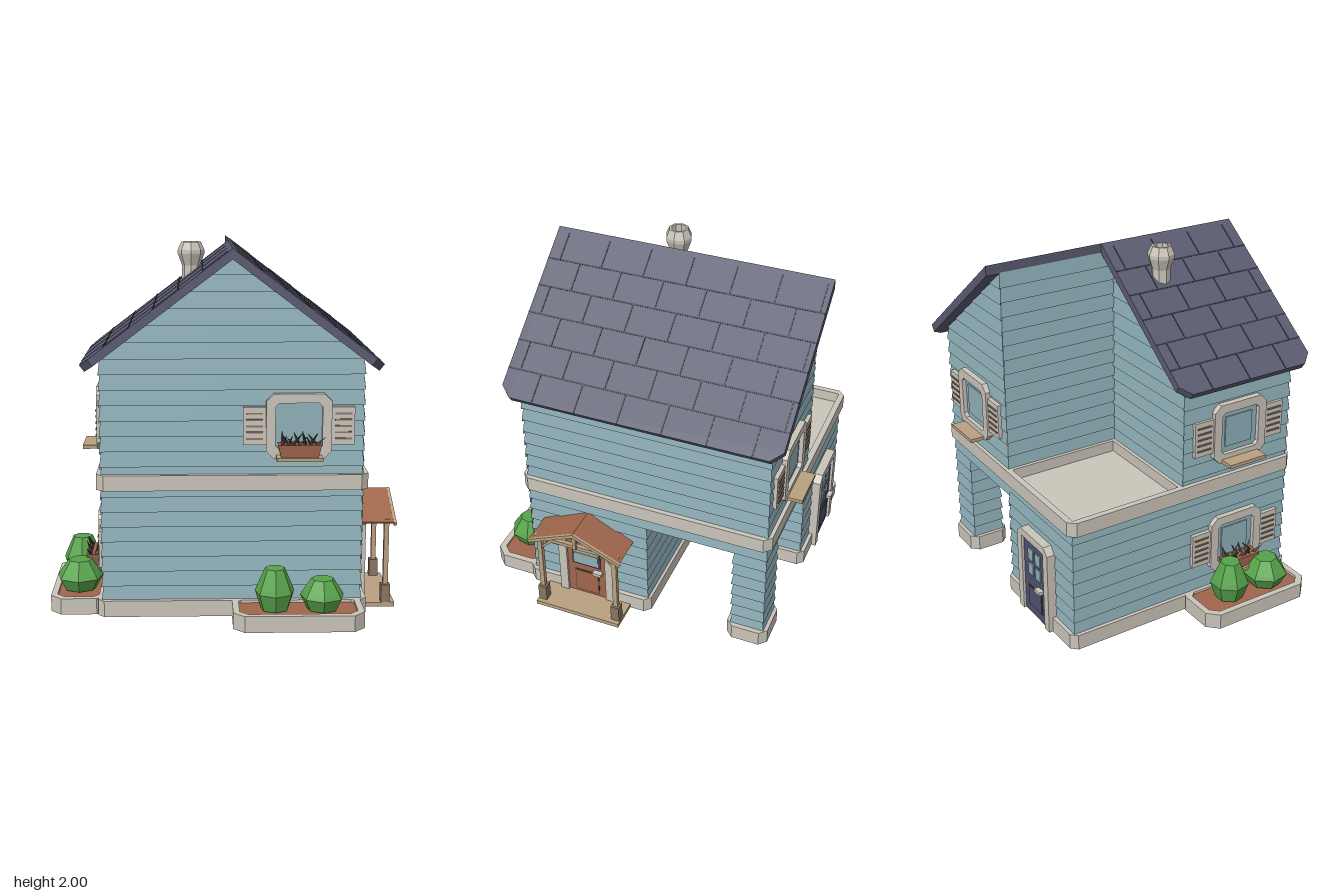
import * as THREE from 'three';

const mat = (name, color, side = THREE.FrontSide) => {
  const m = new THREE.MeshStandardMaterial({ color, flatShading: true, side });
  m.name = name;
  return m;
};
const M = {
  wall: mat('blue siding', 0x8fb0b9, THREE.DoubleSide),
  roof: mat('slate roof', 0x5a5b70),
  groove: mat('slate groove', 0x3c3d4c),
  trim: mat('stone trim', 0xcbc5ba, THREE.DoubleSide),
  rust: mat('terracotta', 0xa0664c),
  tan: mat('light wood', 0xb9a180),
  taupe: mat('post stone', 0x8a7566),
  navy: mat('navy paint', 0x4d5270),
  green: mat('leaf green', 0x57a34b),
  plant: mat('dark plant', 0x4a423d, THREE.DoubleSide),
};

function add(parent, name, geo, material, x = 0, y = 0, z = 0) {
  const m = new THREE.Mesh(geo, material);
  m.name = name;
  m.position.set(x, y, z);
  parent.add(m);
  return m;
}
const box = (p, name, material, w, h, d, x, y, z) =>
  add(p, name, new THREE.BoxGeometry(w, h, d), material, x, y, z);
function group(parent, name) {
  const g = new THREE.Group();
  g.name = name;
  parent.add(g);
  return g;
}
// Cut every corner of a polygon by c
function chamfer(pts, c) {
  return pts.flatMap((p, i) => {
    const v = new THREE.Vector2(...p);
    return [pts.at(i - 1), pts[(i + 1) % pts.length]].map((q) =>
      v.clone().add(new THREE.Vector2(...q).sub(v).setLength(c)));
  });
}
const rect = (x0, x1, y0, y1) => [[x0, y0], [x1, y0], [x1, y1], [x0, y1]];
const vecs = (pts) => pts.map((p) => new THREE.Vector2(...p));
function extrude(pts, depth, hole) {
  const s = new THREE.Shape(pts);
  if (hole) s.holes.push(new THREE.Path(hole));
  return new THREE.ExtrudeGeometry(s, { depth, bevelEnabled: false });
}
// Slab from a plan outline given in x and z
function slab(pts, y0, y1, hole) {
  const flip = (a) => a && a.map((p) => new THREE.Vector2(p.x, -p.y));
  return extrude(flip(pts), y1 - y0, flip(hole)).rotateX(-Math.PI / 2).translate(0, y0, 0);
}

// Clapboard wall: each board leans out at its foot and has a lip underneath
function siding(parent, name, turn, off, a, b, y0, y1, ta = a, tb = b) {
  const rows = Math.max(1, Math.round((y1 - y0) / 0.082)), out = 0.01, pos = [];
  const quad = (p, q, r, s) => pos.push(...p, ...q, ...r, ...p, ...r, ...s);
  for (let i = 0; i < rows; i++) {
    const t0 = i / rows, t1 = (i + 1) / rows, L = THREE.MathUtils.lerp;
    const yb = L(y0, y1, t0), yt = L(y0, y1, t1), l = L(a, ta, t0), r = L(b, tb, t0);
    const fl = [l - out, yb, off + out], fr = [r + out, yb, off + out];
    quad(fl, fr, [L(b, tb, t1), yt, off], [L(a, ta, t1), yt, off]);
    quad([l, yb, off], [r, yb, off], fr, fl);
  }
  const g = new THREE.BufferGeometry();
  g.setAttribute('position', new THREE.Float32BufferAttribute(pos, 3));
  g.computeVertexNormals();
  add(parent, name, g, M.wall).rotation.y = turn;
}

// Half roof, sloping down toward side s
function roofHalf(parent, s, z0, z1) {
  const g = group(parent, s > 0 ? 'leftRoof' : 'rightRoof');
  const len = 1.01, t = 0.045, c = 0.06, tilt = Math.atan(0.757);
  const pts = vecs([[0, z0], [s * (len - c), z0], [s * len, z0 + c], [s * len, z1 - c], [s * (len - c), z1], [0, z1]]);
  const geo = slab(pts, -t, 0), p = geo.attributes.position;
  // Mitre the underside at the ridge
  for (let i = 0; i < p.count; i++)
    if (Math.abs(p.getX(i)) < 1e-4 && p.getY(i) < -t / 2) p.setX(i, s * t * 0.757);
  add(g, 'roofPanel', geo, M.roof);
  const step = 0.163;
  for (let r = 0; r < 6; r++) {
    const u = 0.03 + r * step;
    if (r) box(g, 'tileRow', M.groove, 0.008, 0.005, z1 - z0, s * u, 0, (z0 + z1) / 2);
    for (let z = z1 - 0.07 - (r % 2) * 0.122; z > z0 + 0.02; z -= 0.245)
      box(g, 'tileJoint', M.groove, step, 0.005, 0.007, s * (u + step / 2), 0, z);
  }
  g.position.set(0.04, 1.995, 0);
  g.rotation.z = -s * tilt;
}

// Shuttered window, centred on its own origin and facing +z
function windowUnit(parent, name, turn, x, y, z, planted) {
  const g = group(parent, name);
  add(g, 'windowFrame', extrude(chamfer(rect(-0.175, 0.175, -0.175, 0.175), 0.04), 0.036,
    chamfer(rect(-0.125, 0.125, -0.125, 0.125), 0.02)), M.trim);
  box(g, 'pane', M.wall, 0.25, 0.25, 0.012, 0, 0, 0.006);
  box(g, 'innerPane', M.wall, 0.18, 0.18, 0.008, 0, 0, 0.015);
  for (const s of [-1, 1]) {
    box(g, 'shutter', M.trim, 0.122, 0.205, 0.026, s * 0.237, 0, 0.013);
    for (let i = -2; i <= 2; i++)
      box(g, 'shutterSlat', M.taupe, 0.09, 0.009, 0.008, s * 0.237, i * 0.034, 0.028);
  }
  box(g, 'sill', M.tan, 0.245, 0.02, 0.115, 0, -0.165, 0.06);
  if (planted) {
    const trough = new THREE.CylinderGeometry(0.115, 0.1, 0.065, 4, 1).rotateY(Math.PI / 4);
    trough.scale(Math.SQRT2, 1, 0.5);
    add(g, 'flowerBox', trough, M.rust, 0, -0.12, 0.07);
    for (let i = 0; i < 14; i++) {
      const leaf = add(g, 'leaf', new THREE.ConeGeometry(0.012, 0.075, 3).translate(0, 0.035, 0), M.plant,
        -0.09 + (i % 7) * 0.03, -0.092, i < 7 ? 0.055 : 0.085);
      leaf.rotation.set(i < 7 ? -0.35 : 0.45, 0, Math.sin(i * 2.3) * 0.7);
    }
  }
  g.position.set(x, y, z);
  g.rotation.y = turn;
}

// Door with a surround, standing on y = 0 and facing +z
function door(parent, name, turn, x, z, leaf) {
  const g = group(parent, name), w = 0.17, h = 0.53, c = 0.04;
  add(g, 'doorFrame', extrude(vecs([[-w, 0], [-0.12, 0], [-0.12, 0.485], [0.12, 0.485], [0.12, 0],
    [w, 0], [w, h - c], [w - c, h], [c - w, h], [-w, h - c]]), 0.055), M.trim);
  box(g, 'doorLeaf', leaf, 0.24, 0.485, 0.04, 0, 0.2425, 0.02);
  if (leaf === M.rust) {
    box(g, 'windowSurround', M.navy, 0.175, 0.175, 0.01, 0, 0.335, 0.042);
    box(g, 'doorGlass', M.wall, 0.15, 0.15, 0.008, 0, 0.335, 0.046);
    box(g, 'glazingBar', M.tan, 0.15, 0.014, 0.008, 0, 0.33, 0.049);
    box(g, 'panelGroove', M.plant, 0.15, 0.16, 0.004, 0, 0.12, 0.041);
    box(g, 'panel', M.rust, 0.14, 0.15, 0.008, 0, 0.12, 0.042);
  } else {
    for (const i of [-1, 1]) for (const j of [0, 1])
      box(g, 'doorGlass', M.wall, 0.055, 0.07, 0.008, i * 0.04, 0.3 + j * 0.095, 0.042);
    box(g, 'panelGroove', M.plant, 0.15, 0.13, 0.004, 0, 0.12, 0.041);
    box(g, 'panel', leaf, 0.14, 0.12, 0.008, 0, 0.12, 0.042);
  }
  box(g, 'handle', M.trim, 0.055, 0.02, 0.03, 0.075, 0.22, 0.06);
  g.position.set(x, 0, z);
  g.rotation.y = turn;
}

function bush(parent, r, h, x, z) {
  const pts = vecs([[0, 0], [0.72, 0], [1, 0.42], [0.9, 0.55], [0.5, 1], [0, 1]].map(([a, b]) => [a * r, b * h]));
  add(parent, 'bush', new THREE.LatheGeometry(pts, 7), M.green, x, 0.085, z);
}
function planter(parent, name, x0, x1, z0, z1) {
  add(parent, name, slab(chamfer(rect(x0, x1, z0, z1), 0.06), 0, 0.09,
    chamfer(rect(x0 + 0.035, x1 - 0.035, z0 + 0.035, z1 - 0.035), 0.045)), M.trim);
  add(parent, name + 'Soil', slab(chamfer(rect(x0 + 0.03, x1 - 0.03, z0 + 0.03, z1 - 0.03), 0.045), 0.002, 0.075), M.rust);
}

export function createModel() {
  const house = new THREE.Group();
  house.name = 'house';
  const PI = Math.PI, R = PI / 2, L = -PI / 2;
  const eave = 1.413, peak = 1.943;

  // Siding: name, turn, offset, left, right, bottom, top, then the top's left and right
  const walls = group(house, 'walls');
  [
    ['frontWall', 0, 0.61, -0.66, 0.74, 0, eave], ['frontGable', 0, 0.61, -0.66, 0.74, eave, peak, 0.04, 0.04],
    ['rightLowerWall', L, 0.66, -0.8, 0.61, 0, 0.73], ['rightUpperWall', L, 0.66, -0.1, 0.61, 0.73, eave],
    ['leftUpperWall', R, 0.74, -0.61, 0.8, 0.62, eave], ['leftLowerWall', R, 0.74, -0.61, 0.1, 0, 0.62],
    ['backLowerWall', PI, 0.8, -0.04, 0.66, 0, 0.73], ['backUpperWall', PI, 0.8, -0.74, -0.04, 0.62, eave],
    ['backGable', PI, 0.8, -0.74, -0.04, eave, peak, -0.04, -0.04],
    ['terraceWall', PI, 0.1, -0.04, 0.66, 0.7, eave], ['terraceGable', PI, 0.1, -0.04, 0.66, eave, peak, -0.04, -0.04],
    ['terraceSideWall', L, -0.04, -0.8, -0.1, 0.7, peak],
    ['carportSideWall', R, 0.04, 0.1, 0.8, 0, 0.62], ['carportEndWall', PI, 0.1, -0.74, -0.04, 0, 0.62],
    ['pillarOuter', R, 0.74, 0.62, 0.8, 0, 0.62], ['pillarBack', PI, 0.8, -0.74, -0.55, 0, 0.62],
    ['pillarInner', L, -0.55, -0.8, -0.62, 0, 0.62], ['pillarFront', 0, -0.62, 0.55, 0.74, 0, 0.62],
  ].forEach((w) => siding(walls, ...w));
  box(walls, 'carportCeiling', M.wall, 0.7, 0.01, 0.7, 0.39, 0.625, -0.45);

  // Stone base, belt course and terrace
  const base = [[-0.69, 0.645], [0.775, 0.645], [0.775, -0.125], [0.07, -0.125], [0.07, -0.83], [-0.69, -0.83]];
  add(house, 'base', slab(chamfer(base, 0.035), 0, 0.09), M.trim);
  add(house, 'pillarBase', slab(chamfer(rect(0.52, 0.775, -0.83, -0.59), 0.04), 0, 0.09), M.trim);
  add(house, 'beltCourse', slab(chamfer(rect(-0.69, 0.775, -0.83, 0.645), 0.04), 0.705, 0.79,
    vecs(rect(-0.655, 0.01, -0.795, -0.13))), M.trim);
  box(house, 'terraceFloor', M.trim, 0.69, 0.02, 0.69, -0.32, 0.715, -0.46);

  // Roof and chimney
  roofHalf(house, 1, -0.88, 0.69);
  roofHalf(house, -1, -0.18, 0.69);
  const flue = [[0.055, 1.7], [0.052, 1.87], [0.075, 1.935], [0.075, 1.955], [0.055, 2], [0.042, 2], [0.042, 1.95], [0, 1.95]];
  add(house, 'chimney', new THREE.LatheGeometry(vecs(flue), 8), M.trim, -0.175, 0, 0.07);

  // Windows and doors
  windowUnit(house, 'frontWindow', 0, 0.395, 1.055, 0.61, true);
  windowUnit(house, 'backWindow', PI, 0.395, 1.055, -0.8, false);
  windowUnit(house, 'upperSideWindow', L, -0.66, 1.055, 0.255, false);
  windowUnit(house, 'lowerSideWindow', L, -0.66, 0.355, 0.255, true);
  door(house, 'frontDoor', R, 0.74, 0.26, M.rust);
  door(house, 'backDoor', PI, -0.3, -0.8, M.navy);

  // Porch
  const porch = group(house, 'porch');
  porch.position.z = 0.255;
  box(porch, 'porchStep', M.tan, 0.2, 0.025, 0.52, 0.85, 0.0125, 0);
  box(porch, 'crossBeam', M.tan, 0.025, 0.022, 0.52, 0.9, 0.495, 0);
  box(porch, 'kingPost', M.tan, 0.018, 0.1, 0.02, 0.925, 0.55, 0);
  for (const s of [-1, 1]) {
    box(porch, 'postFoot', M.taupe, 0.05, 0.1, 0.05, 0.9, 0.075, s * 0.23);
    box(porch, 'post', M.tan, 0.027, 0.38, 0.027, 0.9, 0.305, s * 0.23);
    box(porch, 'sideBeam', M.tan, 0.19, 0.022, 0.025, 0.835, 0.495, s * 0.23);
    box(porch, 'brace', M.tan, 0.018, 0.1, 0.014, 0.9, 0.455, s * 0.19).rotation.x = -s * 0.8;
    const slope = group(porch, 'porchRoof');
    slope.position.y = 0.62;
    slope.rotation.x = s * 0.42;
    box(slope, 'porchPanel', M.rust, 0.2, 0.012, 0.305, 0.84, -0.007, s * 0.153);
    box(slope, 'rafter', M.tan, 0.016, 0.02, 0.315, 0.94, -0.01, s * 0.157);
    box(slope, 'backRafter', M.tan, 0.016, 0.016, 0.3, 0.77, -0.02, s * 0.15);
  }

  // Planting beds
  planter(house, 'frontBed', 0.04, 0.74, 0.58, 0.9);
  planter(house, 'sideBed', -0.955, -0.64, -0.095, 0.6);
  bush(house, 0.108, 0.225, 0.265, 0.76);
  bush(house, 0.12, 0.165, 0.52, 0.76);
  bush(house, 0.112, 0.225, -0.81, 0.13);
  bush(house, 0.13, 0.165, -0.805, 0.39);
  return house;
}
